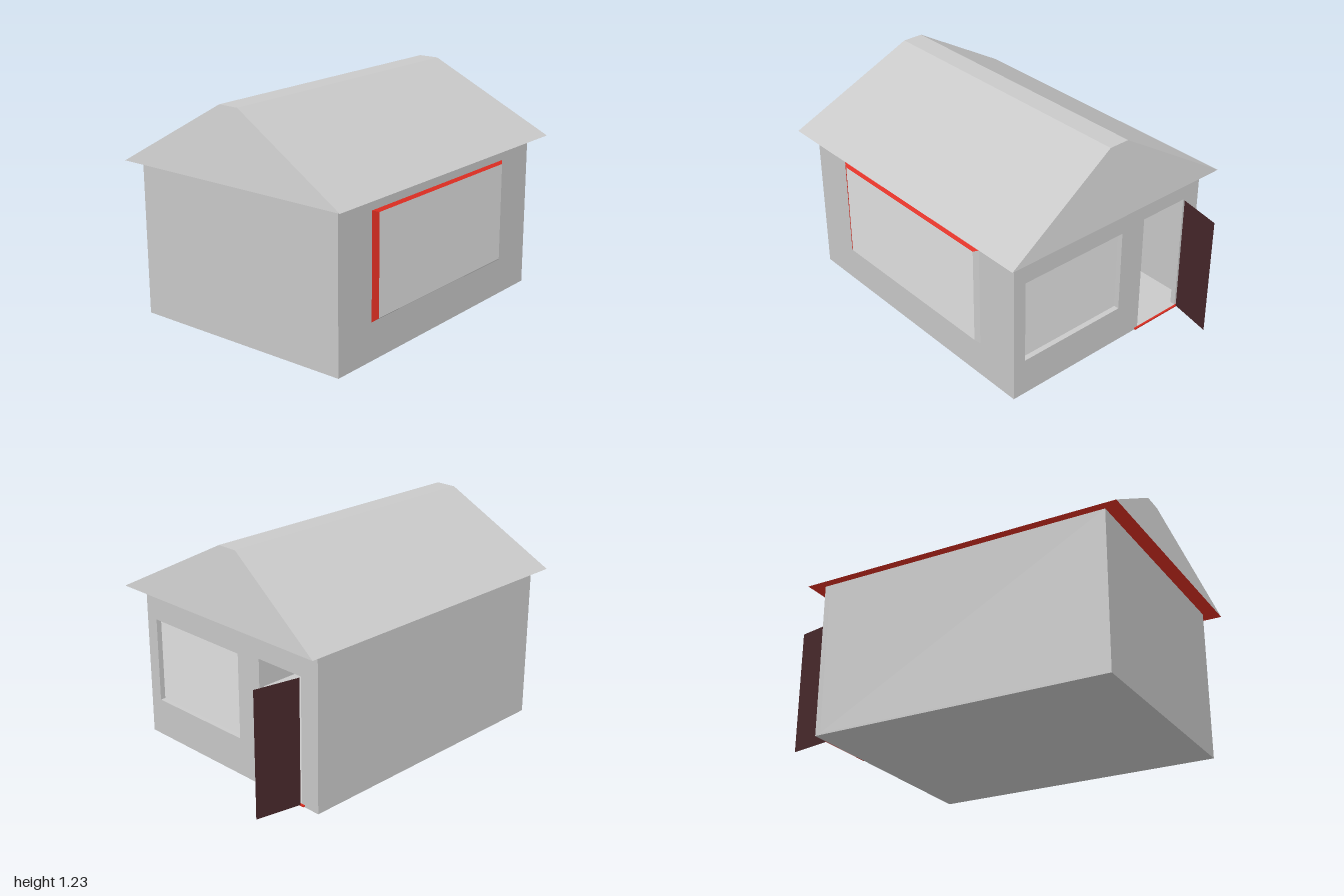
import * as THREE from 'three';

const mat = (name, color) => new THREE.MeshStandardMaterial({ name, color });

// Flat faces from quads given as corner indices, anticlockwise seen from outside
function quads(points, faces) {
  const pos = [];
  for (const [a, b, c, d] of faces) {
    for (const i of [a, b, c, a, c, d]) pos.push(...points[i]);
  }
  const g = new THREE.BufferGeometry();
  g.setAttribute('position', new THREE.Float32BufferAttribute(pos, 3));
  g.computeVertexNormals();
  return g;
}

// Rectangular outline as a path, usable as shape or hole
function rect(path, x0, x1, y0, y1) {
  path.moveTo(x0, y0);
  path.lineTo(x1, y0);
  path.lineTo(x1, y1);
  path.lineTo(x0, y1);
  path.closePath();
  return path;
}

export function createModel() {
  const house = new THREE.Group();
  house.name = 'house';

  const grey = mat('wall grey', 0xc9c9c9);
  const pale = mat('pane grey', 0xe2e2e2);
  const red = mat('trim red', 0xdd2e22);
  const brown = mat('door brown', 0x46272a);
  brown.side = THREE.DoubleSide;

  const add = (name, geometry, material) => {
    const mesh = new THREE.Mesh(geometry, material);
    mesh.name = name;
    house.add(mesh);
    return mesh;
  };
  const box = (name, x0, x1, y0, y1, z0, z1, material) =>
    add(name, new THREE.BoxGeometry(x1 - x0, y1 - y0, z1 - z0), material)
      .position.set((x0 + x1) / 2, (y0 + y1) / 2, (z0 + z1) / 2);

  // Hollow shell
  const L = -0.92, R = 0.74, F = 0.64, B = -0.67, H = 0.86, T = 0.02, D = 0.03;
  box('floor', L, R, 0, 0.01, B, F, grey);
  box('frontWall', L, R - D, 0.01, H, F - T, F, grey);
  box('backWall', L, R - D, 0.01, H, B, B + T, grey);
  box('leftWall', L, L + T, 0.01, H, B + T, F - T, grey);

  // Side wall with window and door openings, drawn with -z as its horizontal axis
  const side = rect(new THREE.Shape(), -F, -B, 0.01, H);
  side.holes.push(rect(new THREE.Path(), -0.565, 0.097, 0.21, 0.685));
  side.holes.push(rect(new THREE.Path(), 0.255, 0.555, 0.0125, 0.705));
  const sideGeo = new THREE.ExtrudeGeometry(side, { depth: D, bevelEnabled: false });
  sideGeo.rotateY(Math.PI / 2);
  add('sideWall', sideGeo, grey).position.x = R - D;
  box('sideWindowPane', R - D - 0.008, R - D, 0.2, 0.695, -0.107, 0.575, pale);

  // Front window: a shallow bay with sloped frame
  const win = [
    [-0.665, 0.205, F], [0.48, 0.205, F], [0.48, 0.777, F], [-0.665, 0.777, F],
    [-0.63, 0.22, 0.658], [0.455, 0.22, 0.658], [0.455, 0.764, 0.658], [-0.63, 0.764, 0.658],
  ];
  add('frontWindowPane', quads(win, [[4, 5, 6, 7]]), pale);
  add('frontWindowFrameGrey', quads(win, [[0, 1, 5, 4], [1, 2, 6, 5]]), grey);
  add('frontWindowFrameRed', quads(win, [[2, 3, 7, 6], [3, 0, 4, 7]]), red);

  // Open door, a thin leaf swung outwards, and its threshold
  const door = [[0.75, 0.01, -0.555], [1, 0.01, -0.505], [1, 0.703, -0.505], [0.75, 0.703, -0.555]];
  add('door', quads(door, [[0, 1, 2, 3]]), brown);
  box('threshold', 0.735, 0.75, 0.004, 0.012, -0.575, -0.23, red);

  // Roof with flat ridge and sloped gable ends
  const roof = [
    [-1, H, 0.718], [0.82, H, 0.718], [0.82, H, -0.718], [-1, H, -0.718],
    [L, 1.23, 0.02], [R, 1.23, 0.02], [R, 1.23, -0.1], [L, 1.23, -0.1],
  ];
  add('roof', quads(roof, [
    [0, 1, 5, 4], [1, 2, 6, 5], [2, 3, 7, 6], [3, 0, 4, 7], [4, 5, 6, 7],
  ]), grey);
  add('roofUnderside', quads(roof, [[3, 2, 1, 0]]), red);

  return house;
}
